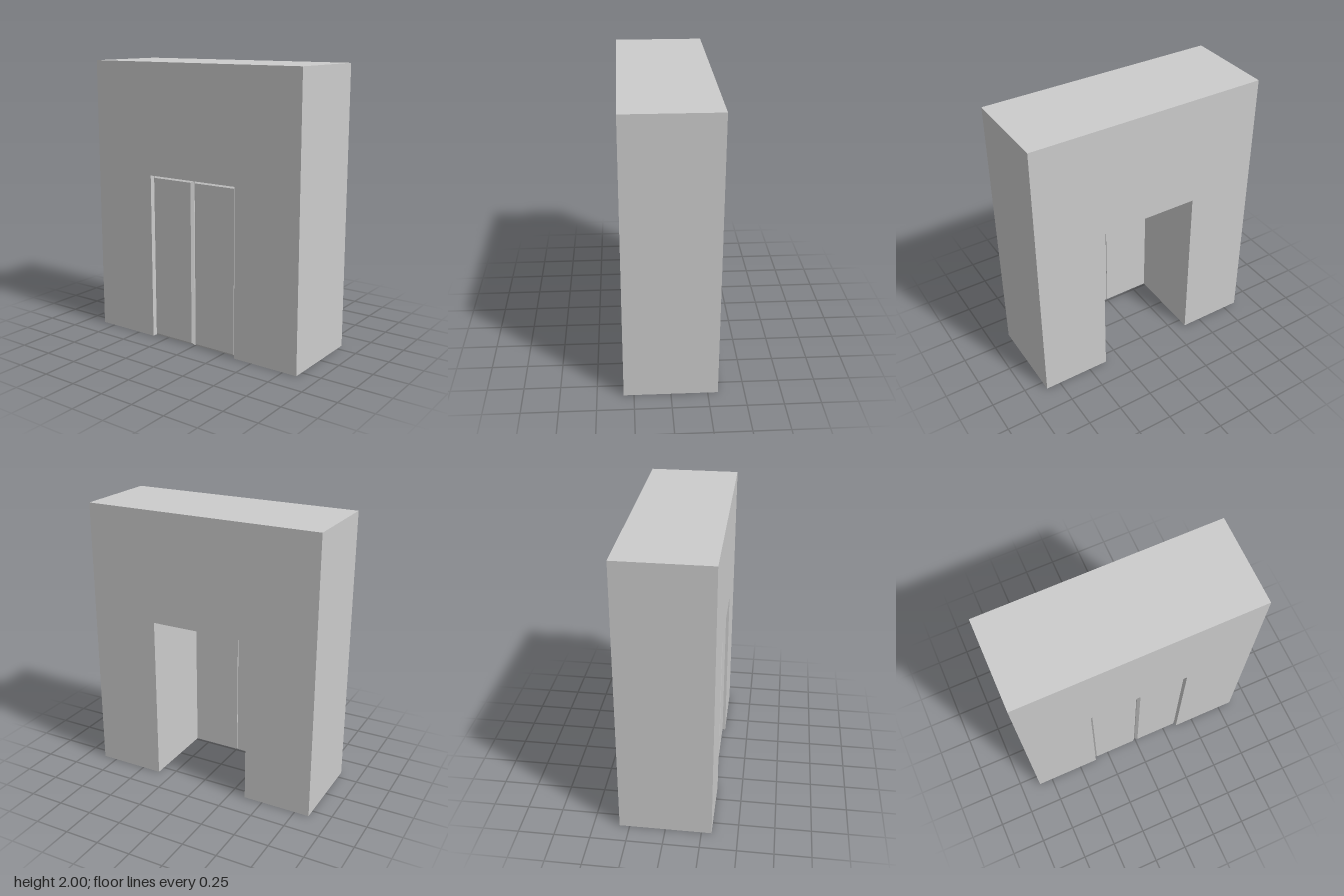
import * as THREE from 'three';

const material = new THREE.MeshStandardMaterial({ color: 0xcccccc, flatShading: true });
const HALF_W = 0.855, HEIGHT = 2, DEPTH = 0.64;
const LEFT = -0.363, RIGHT = 0.36, DOOR_H = 1.205;

// Door leaf: slab whose front face is inset to form a bevelled border
function makeDoor(name, x0, x1) {
  const back = 0.265, front = 0.3, inset = 0.018;
  const w = x1 - x0;
  const geo = new THREE.BoxGeometry(w, DOOR_H, front - back, 1, 1, 2);
  const p = geo.attributes.position;
  for (let i = 0; i < p.count; i++) {
    if (p.getZ(i) > 0.001) {
      p.setX(i, p.getX(i) - Math.sign(p.getX(i)) * inset);
      p.setY(i, p.getY(i) - Math.sign(p.getY(i)) * inset);
    }
  }
  const flat = geo.toNonIndexed();
  flat.computeVertexNormals();
  const door = new THREE.Mesh(flat, material);
  door.name = name;
  door.position.set((x0 + x1) / 2, DOOR_H / 2, (back + front) / 2);
  return door;
}

export function createModel() {
  const group = new THREE.Group();
  group.name = 'doorway';

  // Thick wall with a doorway cut up from the floor
  const outline = new THREE.Shape([
    [-HALF_W, 0], [LEFT, 0], [LEFT, DOOR_H], [RIGHT, DOOR_H],
    [RIGHT, 0], [HALF_W, 0], [HALF_W, HEIGHT], [-HALF_W, HEIGHT],
  ].map(([x, y]) => new THREE.Vector2(x, y)));
  const wallGeo = new THREE.ExtrudeGeometry(outline, { depth: DEPTH, bevelEnabled: false });
  wallGeo.translate(0, 0, -DEPTH / 2);
  const wall = new THREE.Mesh(wallGeo, material);
  wall.name = 'wall';
  group.add(wall);

  // Pair of leaves with a narrow slit between them
  group.add(makeDoor('rightDoor', LEFT, -0.005), makeDoor('leftDoor', 0, RIGHT));
  return group;
}
